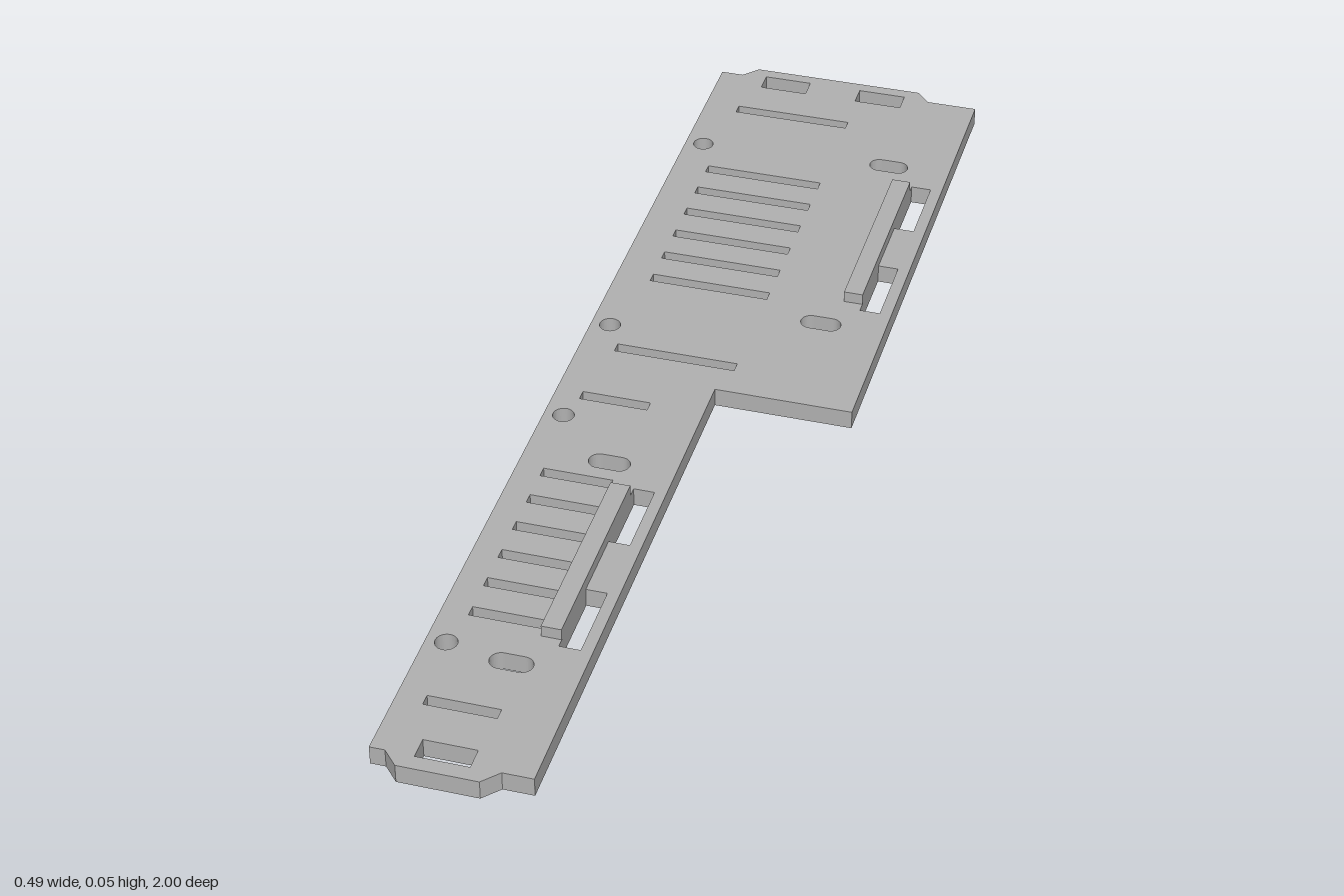
import * as THREE from 'three';

const THICKNESS = 0.033;
const RAIL_HEIGHT = 0.02;

// Outline points are [x, z]; shapes are drawn with y = -z so they can be laid flat.
const toPoints = (pts) => pts.map(([x, z]) => new THREE.Vector2(x, -z));

function rectHole(x0, x1, z0, z1) {
  return new THREE.Path(toPoints([[x0, z0], [x1, z0], [x1, z1], [x0, z1]]));
}

// Slot with round ends; zero length gives a round hole
function roundHole(x, z, r, length = 0) {
  const path = new THREE.Path();
  const h = length / 2;
  path.absarc(x + h, -z, r, -Math.PI / 2, Math.PI / 2, false);
  path.absarc(x - h, -z, r, Math.PI / 2, Math.PI * 1.5, false);
  return path;
}

export function createModel() {
  const group = new THREE.Group();
  const grey = new THREE.MeshStandardMaterial({ color: 0xb2b2b2 });
  grey.name = 'grey';

  // L-shaped plate with a chamfered tab at each end
  const plate = new THREE.Shape(toPoints([
    [-0.245, 0.973], [-0.22, 0.973], [-0.195, 1], [-0.065, 1], [-0.04, 0.973], [0.01, 0.973],
    [0.01, -0.003], [0.245, -0.003], [0.245, -0.973],
    [0.155, -0.973], [0.13, -1], [-0.18, -1], [-0.205, -0.973], [-0.245, -0.973],
  ]));
  const holes = plate.holes;

  // Vent slots: long ones in the wide half, short ones in the narrow half
  for (const z of [0.072, 0.286, 0.357, 0.428, 0.5, 0.571, 0.643, 0.854]) {
    holes.push(rectHole(-0.183, 0.027, -z - 0.01, -z + 0.01));
    holes.push(rectHole(-0.2, -0.083, z - 0.01, z + 0.01));
  }

  // Rectangular openings in the end tabs
  holes.push(rectHole(-0.16, -0.074, -0.978, -0.94));
  holes.push(rectHole(0.022, 0.108, -0.978, -0.94));
  holes.push(rectHole(-0.174, -0.088, 0.937, 0.974));

  // Oval mounting holes
  for (const [x, z] of [[0.134, -0.74], [0.134, -0.233], [-0.102, 0.233], [-0.102, 0.74]]) {
    holes.push(roundHole(x, z, 0.018, 0.034));
  }

  // Round holes along the straight edge
  for (const z of [-0.722, -0.132, 0.132, 0.722]) holes.push(roundHole(-0.212, z, 0.018));

  // Raised rails, each with two openings along its outer side
  for (const [x, side] of [[0.173, -1], [-0.061, 1]]) {
    const edge = x + 0.0165;
    for (const [a, b] of [[0.288, 0.426], [0.547, 0.685]]) {
      holes.push(rectHole(edge, edge + 0.035, Math.min(side * a, side * b), Math.max(side * a, side * b)));
    }
    const rail = new THREE.Mesh(new THREE.BoxGeometry(0.033, RAIL_HEIGHT, 0.364), grey);
    rail.name = side < 0 ? 'backRail' : 'frontRail';
    rail.position.set(x, THICKNESS + RAIL_HEIGHT / 2, side * 0.488);
    group.add(rail);
  }

  const geometry = new THREE.ExtrudeGeometry(plate, { depth: THICKNESS, bevelEnabled: false, curveSegments: 10 });
  geometry.rotateX(-Math.PI / 2);
  const mesh = new THREE.Mesh(geometry, grey);
  mesh.name = 'plate';
  group.add(mesh);
  group.name = 'slottedPlate';
  return group;
}
